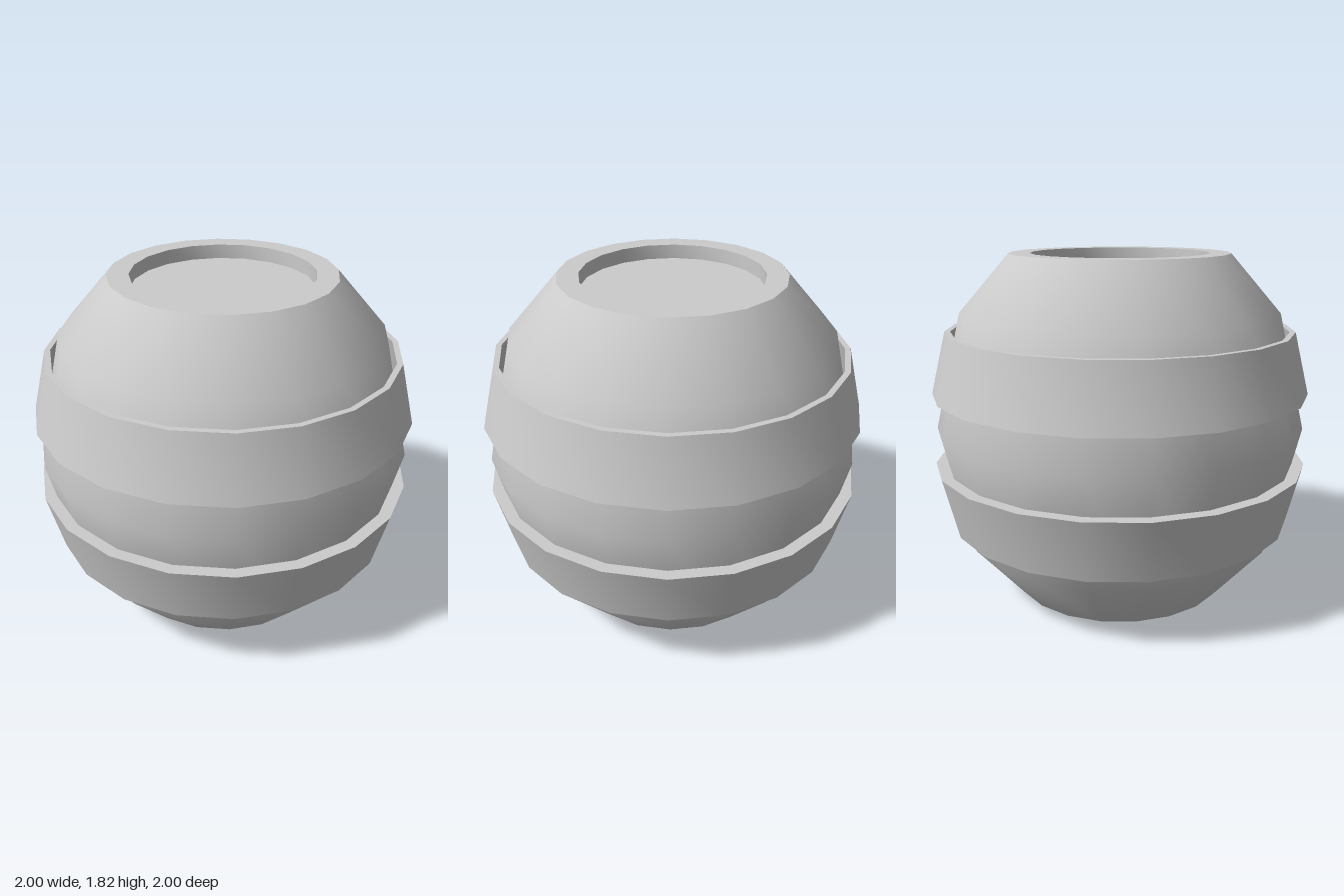
import * as THREE from 'three';
import { toCreasedNormals } from 'three/addons/utils/BufferGeometryUtils.js';

const SIDES = 20;
const material = new THREE.MeshStandardMaterial({ color: 0xcccccc, side: THREE.DoubleSide });

// Revolve an [radius, y] profile; only sharp corners stay creased
function turned(name, profile) {
  const points = profile.map(([r, y]) => new THREE.Vector2(r, y));
  const geometry = toCreasedNormals(new THREE.LatheGeometry(points, SIDES), 0.72);
  const mesh = new THREE.Mesh(geometry, material);
  mesh.name = name;
  return mesh;
}

export function createModel() {
  const group = new THREE.Group();
  group.name = 'barrel';

  // Bulging shell, open underneath, with a flat rim and recessed lip on top
  group.add(turned('barrelBody', [
    [0.578, 0], [0.84, 0.3], [0.983, 0.91], [0.84, 1.52], [0.578, 1.82],
    [0.467, 1.82], [0.467, 1.745],
  ]));

  // Lid sunk below the rim
  const lid = new THREE.Mesh(new THREE.CircleGeometry(0.467, SIDES), material);
  lid.name = 'lid';
  lid.rotation.x = -Math.PI / 2;
  lid.position.y = 1.745;
  group.add(lid);

  // Two flared hoops, mirrored about the middle of the barrel
  const hoop = [[0.89, 0.39], [0.92, 0.39], [1, 0.715], [0.9, 0.715]];
  group.add(turned('lowerHoop', hoop));
  group.add(turned('upperHoop', hoop.map(([r, y]) => [r, 1.815 - y]).reverse()));

  return group;
}
